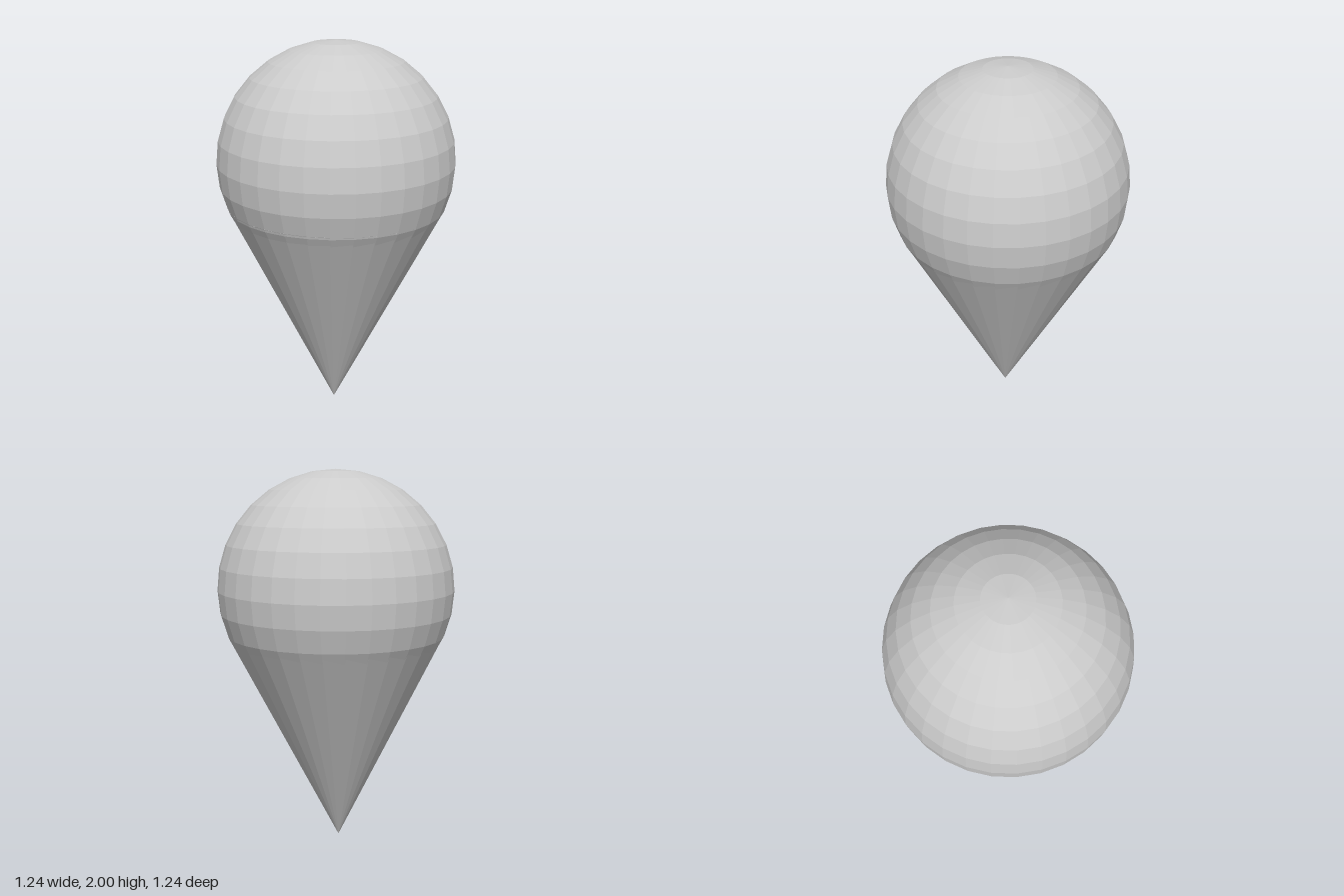
import * as THREE from 'three';

const BALL_RADIUS = 0.62;
const BALL_Y = 2 - BALL_RADIUS;
const RIM_RADIUS = 0.574;
const RIM_DROP = 0.232; // rim distance below the ball's centre
const SIDES = 32;

export function createModel() {
  const model = new THREE.Group();
  model.name = 'iceCreamCone';
  const material = new THREE.MeshStandardMaterial({ color: 0xcccccc, flatShading: true });

  // Round scoop
  const scoop = new THREE.Mesh(new THREE.SphereGeometry(BALL_RADIUS, SIDES, 16), material);
  scoop.name = 'scoop';
  scoop.position.y = BALL_Y;
  model.add(scoop);

  // Pointed cone, hung from the scoop's centre and leaning very slightly
  const height = BALL_Y - RIM_DROP;
  const geometry = new THREE.ConeGeometry(RIM_RADIUS, height, SIDES);
  geometry.rotateX(Math.PI);
  geometry.translate(0, -RIM_DROP - height / 2, 0);
  const cone = new THREE.Mesh(geometry, material);
  cone.name = 'cone';
  cone.position.y = BALL_Y;
  cone.rotation.set(-0.006, 0, -0.0144);
  model.add(cone);

  return model;
}
